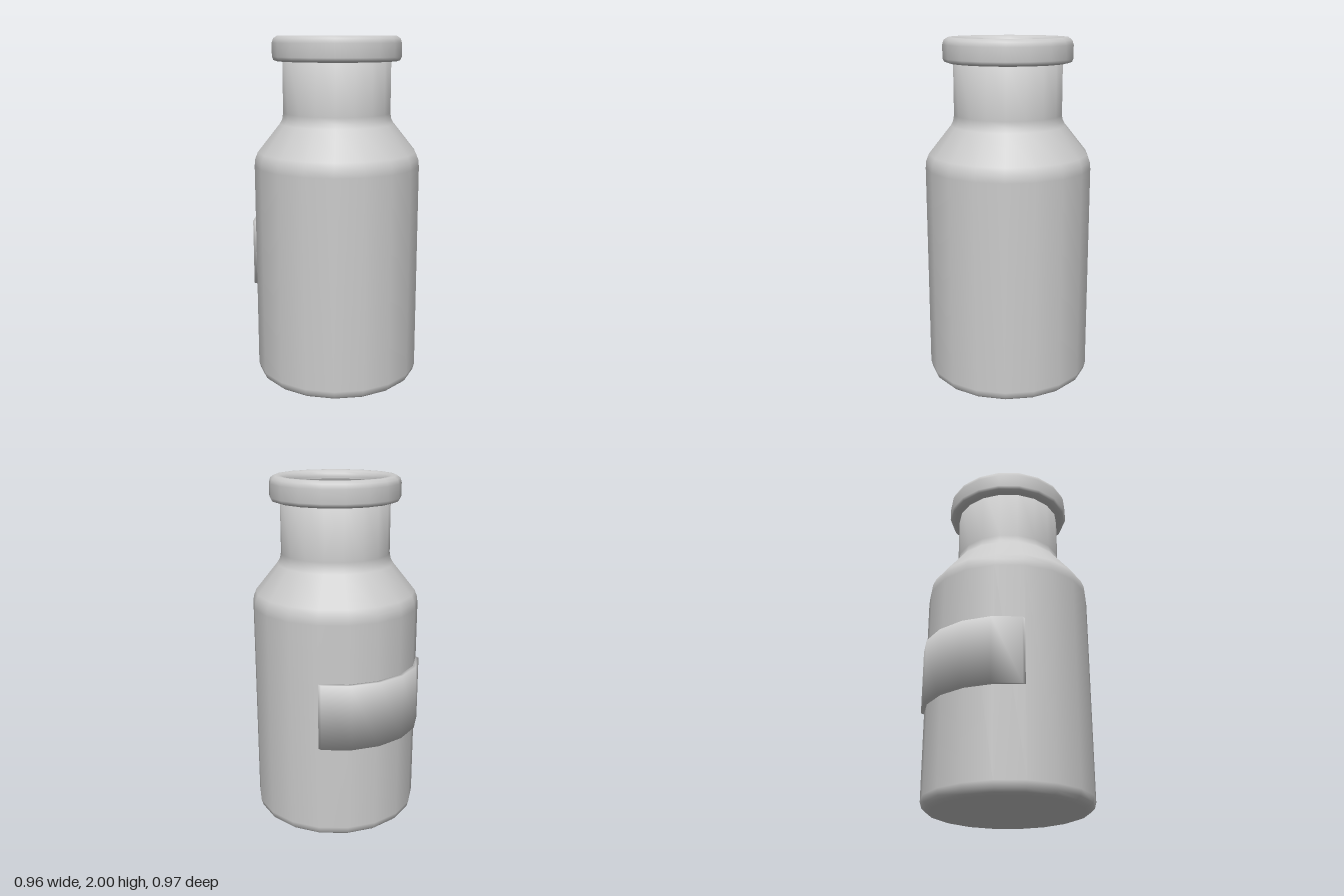
import * as THREE from 'three';
import { toCreasedNormals } from 'three/addons/utils/BufferGeometryUtils.js';

const SIDES = 18;
const RADIUS = 0.478;
const CENTRE_Z = 0.012;

export function createModel() {
  const model = new THREE.Group();
  const material = new THREE.MeshStandardMaterial({ color: 0xcccccc });

  const add = (name, geometry) => {
    const mesh = new THREE.Mesh(geometry, material);
    mesh.name = name;
    mesh.position.z = CENTRE_Z;
    model.add(mesh);
    return mesh;
  };

  // Turned part with a corner on the x axis
  const turned = (profile) => new THREE.LatheGeometry(
    profile.map(([r, y]) => new THREE.Vector2(r, y)),
    SIDES, Math.PI / SIDES, Math.PI * 2
  );

  // Closed bottle: rounded base, straight wall, shoulder, neck and top
  add('bottleBody', turned([
    [0, 0], [0.425, 0], [0.45, 0.008], [0.468, 0.025], [0.478, 0.06],
    [0.478, 1.27], [0.474, 1.31], [0.458, 1.35],
    [0.33, 1.51], [0.316, 1.535], [0.31, 1.57],
    [0.31, 1.95], [0, 1.95],
  ]));

  // Rolled ring around the mouth
  add('mouthRim', turned([
    [0.28, 1.86], [0.34, 1.86], [0.36, 1.867], [0.368, 1.885],
    [0.368, 1.96], [0.36, 1.985], [0.34, 1.999], [0.318, 2],
    [0.297, 1.993], [0.283, 1.978], [0.28, 1.96], [0.28, 1.86],
  ]));

  // Curved label plate wrapped around the back
  const inner = [];
  for (let deg = 40; deg <= 140; deg += 20) {
    const a = THREE.MathUtils.degToRad(deg);
    inner.push(new THREE.Vector2(RADIUS * Math.cos(a), RADIUS * Math.sin(a)));
  }
  const outer = inner.map((p) => new THREE.Vector2(p.x, p.y + 0.025)).reverse();
  const plate = new THREE.ExtrudeGeometry(
    new THREE.Shape([...inner, ...outer]),
    { depth: 0.38, bevelEnabled: false }
  );
  plate.rotateX(-Math.PI / 2);
  add('backLabel', toCreasedNormals(plate, 1.8)).position.y = 0.56;

  return model;
}
